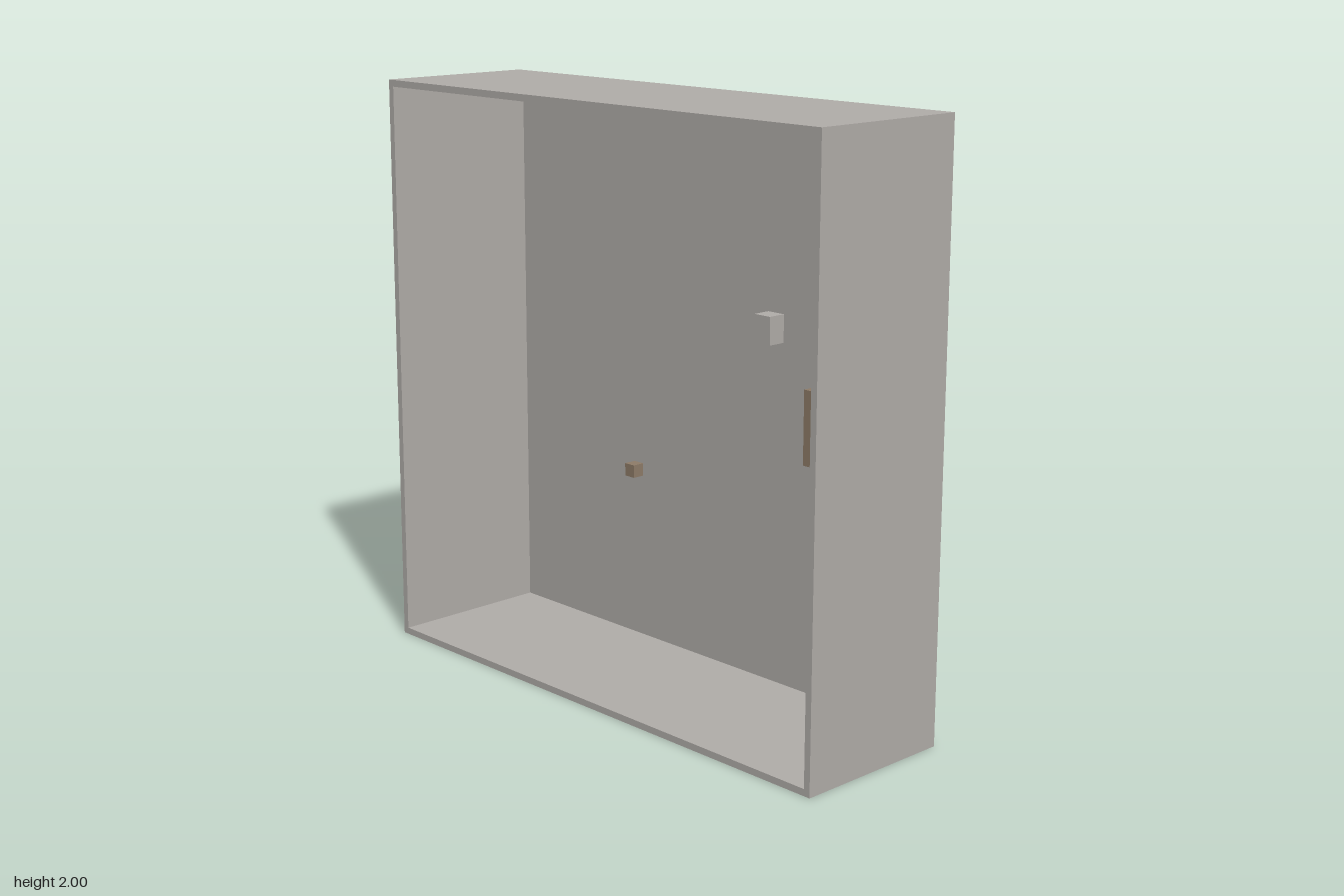
import * as THREE from 'three';

export function createModel() {
  const model = new THREE.Group();
  const grey = new THREE.MeshStandardMaterial({ color: 0xb1ada9 });
  grey.name = 'warm grey';
  const brown = new THREE.MeshStandardMaterial({ color: 0x8e7c68 });
  brown.name = 'brown';

  // Box given by its minimum and maximum corners
  function addBox(name, material, [x0, y0, z0], [x1, y1, z1]) {
    const mesh = new THREE.Mesh(new THREE.BoxGeometry(x1 - x0, y1 - y0, z1 - z0), material);
    mesh.position.set((x0 + x1) / 2, (y0 + y1) / 2, (z0 + z1) / 2);
    mesh.name = name;
    model.add(mesh);
  }

  function rectangle(PathType, half) {
    return new PathType([
      new THREE.Vector2(-half, 1 - half), new THREE.Vector2(half, 1 - half),
      new THREE.Vector2(half, 1 + half), new THREE.Vector2(-half, 1 + half),
    ]);
  }

  // Four thin walls, open at the front
  const backZ = -0.287, frontZ = 0.293;
  const outline = rectangle(THREE.Shape, 1);
  outline.holes.push(rectangle(THREE.Path, 0.977));
  const frame = new THREE.Mesh(
    new THREE.ExtrudeGeometry(outline, { depth: frontZ - backZ, bevelEnabled: false }), grey);
  frame.position.z = backZ;
  frame.name = 'frame';
  model.add(frame);

  // Back panel, standing slightly proud of the frame
  addBox('backPanel', grey, [-0.98, 0.02, -0.293], [0.98, 1.98, -0.285]);

  // Blocks fixed to the inside of the panel
  addBox('greyBlock', grey, [0.255, 1.2, -0.286], [0.325, 1.295, -0.22]);
  addBox('smallBrownBlock', brown, [-0.39, 0.615, -0.286], [-0.345, 0.66, -0.24]);
  addBox('largeBrownBlock', brown, [0.605, 0.88, -0.286], [0.755, 1.125, -0.083]);

  // Switch on the side of the large block
  addBox('switchPlate', brown, [0.601, 1.01, -0.23], [0.606, 1.115, -0.14]);
  addBox('switchToggle', grey, [0.592, 1.038, -0.205], [0.602, 1.088, -0.165]);
  addBox('switchPin', grey, [0.597, 0.99, -0.19], [0.606, 1.0, -0.18]);

  return model;
}
